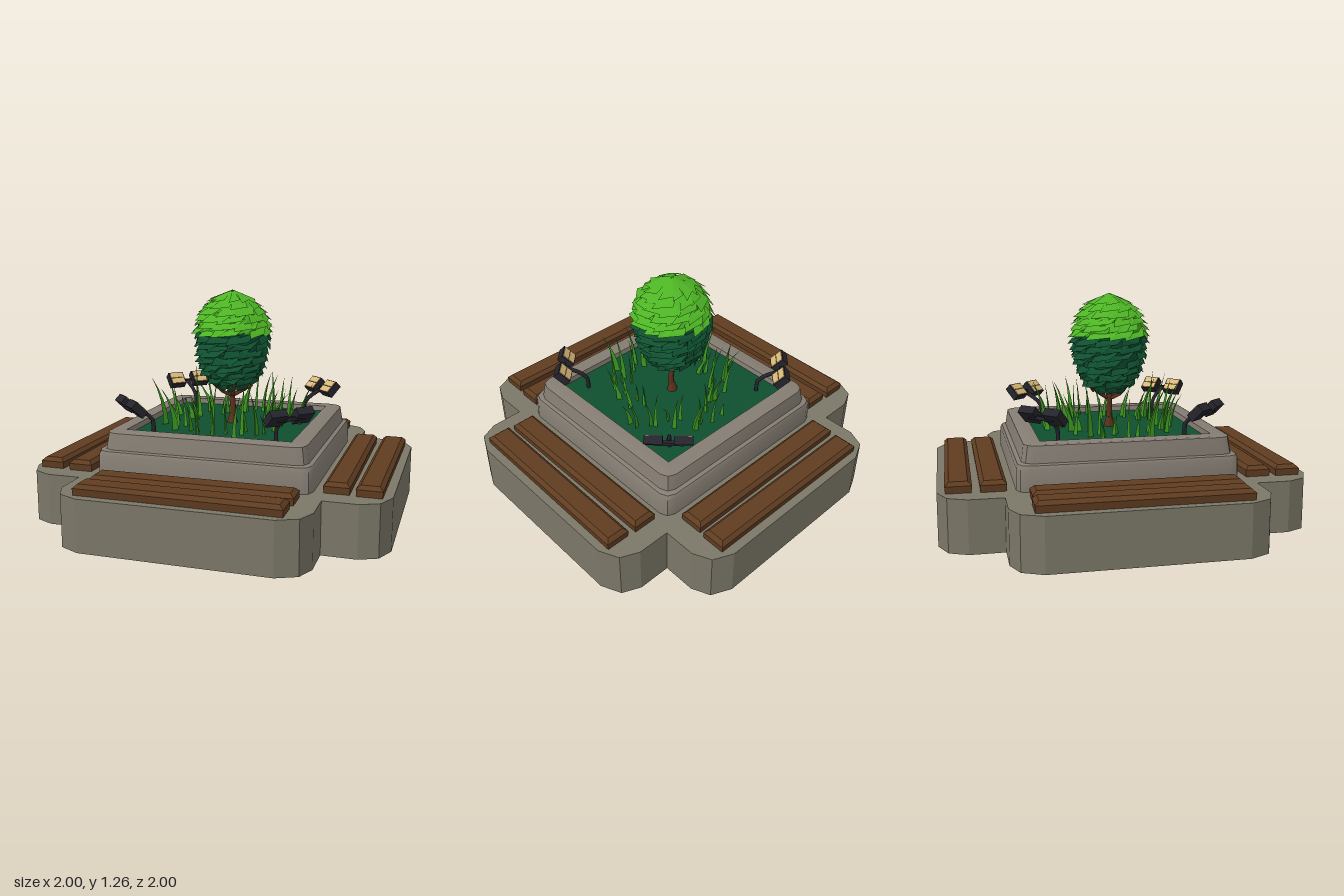
import * as THREE from 'three';
import { mergeGeometries, toCreasedNormals } from 'three/addons/utils/BufferGeometryUtils.js';

const mat = (name, color, side = THREE.FrontSide) => {
  const m = new THREE.MeshStandardMaterial({ color, side });
  m.name = name;
  return m;
};

let seed = 7;
const rnd = (a = 0, b = 1) => {
  seed = (seed * 16807) % 2147483647;
  return a + (b - a) * seed / 2147483647;
};

// Flat-faced geometry from a list of triangle corners
function fromTriangles(points) {
  const g = new THREE.BufferGeometry();
  g.setAttribute('position', new THREE.Float32BufferAttribute(points.flat(), 3));
  g.computeVertexNormals();
  return g;
}

// Joins equal-length rings of [x, y, z]; optionally closes the last one
function loft(rings, cap = true) {
  const t = [], n = rings[0].length;
  for (let k = 0; k < rings.length - 1; k++) {
    for (let i = 0; i < n; i++) {
      const j = (i + 1) % n, [p, q] = [rings[k], rings[k + 1]];
      t.push(p[i], q[i], p[j], p[j], q[i], q[j]);
    }
  }
  if (cap) {
    const top = rings[rings.length - 1];
    top.forEach((p, i) => t.push([0, p[1], 0], top[(i + 1) % n], p));
  }
  return fromTriangles(t);
}

// Repeats a quarter outline four times around the y axis
function fourfold(quarter, y) {
  const ring = [];
  for (let k = 0; k < 4; k++) {
    for (let [x, z] of quarter) {
      for (let r = 0; r < k; r++) [x, z] = [-z, x];
      ring.push([x, y, z]);
    }
  }
  return ring;
}
const square = (s, c, y) => fourfold([[s, s - c], [s - c * 0.3, s - c * 0.3], [s - c, s]], y);
const rect = (a, b, y) => [[a, y, -b], [a, y, b], [-a, y, b], [-a, y, -b]];

function rod(points, radius, sides = 6) {
  const curve = new THREE.CatmullRomCurve3(points.map(p => new THREE.Vector3(...p)));
  return new THREE.TubeGeometry(curve, 6, radius, sides);
}

// Foliage radius at a given height
const outline = [[0.68, 0.05], [0.73, 0.13], [0.8, 0.175], [0.9, 0.2], [1.0, 0.215],
  [1.08, 0.205], [1.15, 0.175], [1.2, 0.13], [1.24, 0.07], [1.26, 0.01]];
function leafRadius(y) {
  if (y <= outline[0][0]) return outline[0][1];
  for (let i = 1; i < outline.length; i++) {
    const [y0, r0] = outline[i - 1], [y1, r1] = outline[i];
    if (y <= y1) return r0 + (r1 - r0) * (y - y0) / (y1 - y0);
  }
  return 0.01;
}

// A solid core wrapped in swirling, overlapping leaf plates
function foliage(yMin, yMax, layers) {
  const rings = [], t = [], n = 14;
  for (let k = 0; k <= 6; k++) {
    const y = yMin + (yMax - yMin) * k / 6, r = leafRadius(y) * 0.95;
    rings.push(Array.from({ length: n }, (_, i) => {
      const a = (i + k * 0.4) / n * Math.PI * 2;
      return [r * Math.cos(a), y, r * Math.sin(a)];
    }));
  }
  const at = (a, y, out) => {
    const r = leafRadius(y) + out;
    return [r * Math.cos(a), y, r * Math.sin(a)];
  };
  for (let k = 0; k < layers; k++) {
    const y = yMin + (yMax - yMin) * (k + 0.6) / layers;
    for (let i = 0; i < 11; i++) {
      const a = (i + rnd(0, 0.5) + k * 0.37) / 11 * Math.PI * 2, w = rnd(0.75, 1);
      const h = 0.05, drop = rnd(0.02, 0.04);
      const p = at(a, y + h * 0.5, -0.008), q = at(a + w, y + h * 0.5 - drop, 0.0);
      const s = at(a + w * 1.05, y - h * 0.5 - drop * 0.5, rnd(0.015, 0.035));
      const u = at(a + w * 0.4, y - h * 0.5, rnd(0.01, 0.022));
      t.push(p, q, u, u, q, s);
    }
  }
  const core = loft(rings), under = [];
  rings[0].forEach((p, i) => under.push([0, yMin, 0], p, rings[0][(i + 1) % n]));
  return mergeGeometries([core, fromTriangles(under), fromTriangles(t)].map(g => {
    g.deleteAttribute('uv');
    return g;
  }));
}

// A tapering three-sided blade bent outward
function blade(height, lean, width) {
  const g = new THREE.ConeGeometry(width, height, 3, 4, true).toNonIndexed();
  g.translate(0, height / 2, 0);
  const p = g.attributes.position;
  for (let i = 0; i < p.count; i++) {
    const f = p.getY(i) / height;
    p.setX(i, p.getX(i) + lean * f * f);
    p.setZ(i, p.getZ(i) * 0.6);
  }
  g.computeVertexNormals();
  return g;
}

export function createModel() {
  const model = new THREE.Group();
  const stone = mat('base stone', 0x7b7768, THREE.DoubleSide);
  const planterStone = mat('planter stone', 0x857d73, THREE.DoubleSide);
  const wood = mat('bench wood', 0x5f3c20);
  const deepGreen = mat('deep green', 0x0f5030, THREE.DoubleSide);
  const brightGreen = mat('bright green', 0x4db524, THREE.DoubleSide);
  const grassGreen = mat('grass green', 0x3d9620, THREE.DoubleSide);
  const bark = mat('bark', 0x5c321c);
  const black = mat('lamp black', 0x25242c);
  const cream = mat('lamp glass', 0xdab878);
  const add = (parent, name, geometry, material) => {
    const m = new THREE.Mesh(geometry, material);
    m.name = name;
    parent.add(m);
    return m;
  };

  // Cross-shaped base, open underneath
  const cross = [[1, 0.51], [0.95, 0.62], [0.85, 0.665], [0.665, 0.665],
    [0.665, 0.85], [0.62, 0.95], [0.51, 1]];
  add(model, 'base', loft([fourfold(cross, 0), fourfold(cross, 0.285)]), stone);

  // Stepped planter wall and its lawn
  const wall = loft([square(0.6, 0.06, 0.285), square(0.598, 0.06, 0.4), square(0.59, 0.06, 0.42),
    square(0.568, 0.06, 0.425), square(0.555, 0.06, 0.515), square(0.545, 0.06, 0.52),
    square(0.465, 0.002, 0.52), square(0.46, 0.002, 0.48)], false);
  add(model, 'planter', toCreasedNormals(wall, 0.7), planterStone);
  add(model, 'lawn', loft([square(0.465, 0.002, 0.485), square(0.465, 0.002, 0.49)]), deepGreen);

  // Two bench slats on each side
  for (let k = 0; k < 4; k++) {
    const bench = new THREE.Group();
    bench.name = 'bench';
    bench.rotation.y = k * Math.PI / 2;
    [[0.005, 0.716], [-0.003, 0.888]].forEach(([x, z], i) => {
      const slat = add(bench, 'benchSlat', loft([rect(0.545, 0.066, 0.285), rect(0.547, 0.069, 0.322),
        rect(0.525, 0.048, 0.342)]), wood);
      slat.position.set(x, 0, z);
      slat.rotation.y = i ? -0.006 : 0.003;
    });
    model.add(bench);
  }

  // Tree
  const tree = new THREE.Group();
  tree.name = 'tree';
  model.add(tree);
  add(tree, 'trunk', rod([[0, 0.48, 0], [0.006, 0.58, 0.004], [-0.004, 0.66, 0], [0, 0.76, 0]], 0.017), bark);
  add(tree, 'trunkFoot', new THREE.CylinderGeometry(0.016, 0.034, 0.06, 6), bark).position.y = 0.515;
  for (const [x, y, z] of [[0.13, 0.73, 0.03], [-0.1, 0.8, 0.12], [-0.04, 0.74, -0.12], [0.05, 0.75, 0.12]]) {
    add(tree, 'branch', rod([[0, 0.65, 0], [x * 0.45, 0.685, z * 0.45], [x, y, z]], 0.011, 5), bark);
  }
  add(tree, 'lowerFoliage', foliage(0.7, 1.03, 8), deepGreen);
  add(tree, 'upperFoliage', foliage(1.03, 1.255, 6), brightGreen);

  // Grass blades scattered around the tree
  const blades = [];
  for (let i = 0; i < 44; i++) {
    const a = (i + rnd(-0.3, 0.3)) / 44 * Math.PI * 2, r = rnd(0.22, 0.4);
    const g = blade(rnd(0.13, 0.31), rnd(0.03, 0.1), rnd(0.015, 0.023));
    g.rotateY(-a + rnd(-1.1, 1.1));
    g.translate(r * Math.cos(a), 0.488, r * Math.sin(a));
    blades.push(g);
  }
  add(model, 'grass', mergeGeometries(blades), grassGreen);

  // Twin floodlights in the corners, aimed up at the tree
  for (let k = 0; k < 4; k++) {
    const lamp = new THREE.Group();
    lamp.name = 'floodlight';
    lamp.rotation.y = Math.PI / 4 + k * Math.PI / 2;
    add(lamp, 'lampPost', rod([[0, 0.48, 0.5], [0, 0.56, 0.505], [0, 0.6, 0.55], [0, 0.635, 0.63]], 0.012), black);
    add(lamp, 'lampBar', new THREE.BoxGeometry(0.16, 0.02, 0.02), black).position.set(0, 0.638, 0.64);
    for (const side of [-1, 1]) {
      const head = new THREE.Group();
      head.name = 'lampHead';
      head.position.set(side * 0.08, 0.648, 0.63);
      head.rotation.x = Math.PI / 4;
      add(head, 'lampHousing', new THREE.BoxGeometry(0.1, 0.09, 0.045), black);
      for (const row of [-1, 1]) {
        add(head, 'lampGlass', new THREE.BoxGeometry(0.086, 0.036, 0.006), cream)
          .position.set(0, row * 0.0205, -0.0235);
      }
      lamp.add(head);
    }
    model.add(lamp);
  }
  return model;
}
